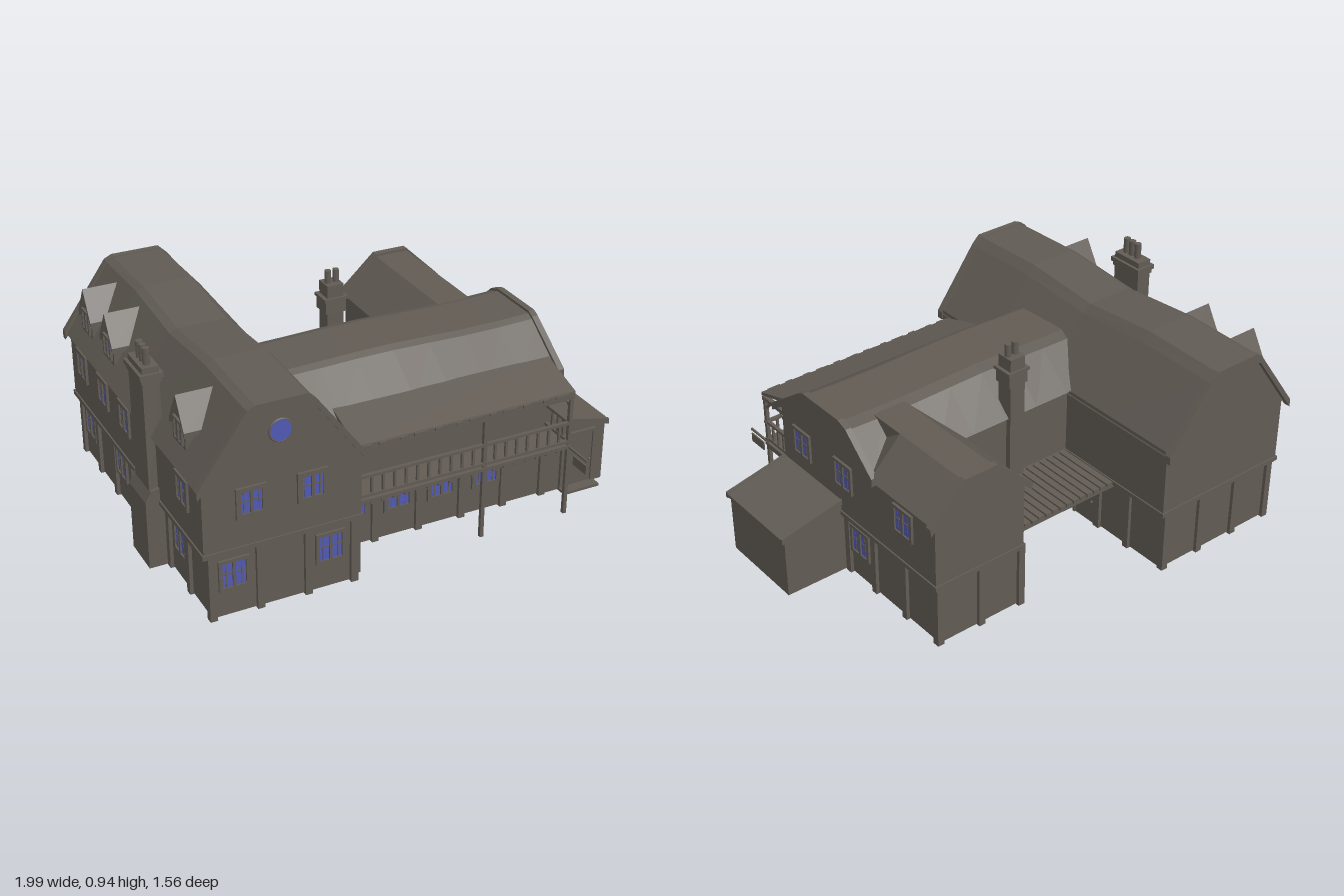
import * as THREE from 'three';
import { mergeGeometries } from 'three/addons/utils/BufferGeometryUtils.js';

const timber = new THREE.MeshStandardMaterial({ color: 0x615b54, side: THREE.DoubleSide });
timber.name = 'weatheredTimber';
const glass = new THREE.MeshStandardMaterial({ color: 0x5058b4, side: THREE.DoubleSide });
glass.name = 'blueGlass';

// Box given by its limits on each axis
function boxGeo(x0, x1, y0, y1, z0, z1) {
  return new THREE.BoxGeometry(x1 - x0, y1 - y0, z1 - z0)
    .translate((x0 + x1) / 2, (y0 + y1) / 2, (z0 + z1) / 2);
}

function add(parent, name, geo, mat = timber) {
  const m = new THREE.Mesh(geo, mat);
  m.name = name;
  parent.add(m);
  return m;
}

// Four walls without floor or ceiling
function wallBox(...limits) {
  const g = boxGeo(...limits);
  const idx = Array.from(g.index.array);
  idx.splice(12, 12);
  g.setIndex(idx);
  g.clearGroups();
  return g;
}

// Rectangular ring of beams, t wide
function ring(x0, x1, y0, y1, z0, z1, t) {
  return mergeGeometries([boxGeo(x0, x1, y0, y1, z0, z0 + t), boxGeo(x0, x1, y0, y1, z1 - t, z1),
    boxGeo(x0, x0 + t, y0, y1, z0 + t, z1 - t), boxGeo(x1 - t, x1, y0, y1, z0 + t, z1 - t)]);
}

// Extrude a [horizontal, y] outline along 'x' or 'z' from a to b
function prism(points, axis, a, b, steps = 1) {
  const s = new THREE.Shape(points.map(([h, y]) => new THREE.Vector2(axis === 'x' ? -h : h, y)));
  const g = new THREE.ExtrudeGeometry(s, { depth: b - a, steps, bevelEnabled: false });
  g.translate(0, 0, a);
  if (axis === 'x') g.rotateY(Math.PI / 2);
  return g;
}

// Let the ridge rise and sink along its length
function sag(g, axis, eave, top, rule) {
  const p = g.attributes.position;
  for (let i = 0; i < p.count; i++) {
    const t = axis === 'x' ? p.getX(i) : p.getZ(i), y = p.getY(i);
    p.setY(i, y + rule(t) * Math.max(0, (y - eave) / (top - eave)));
  }
  g.computeVertexNormals();
  return g;
}

// Strip that follows a roof outline at a gable
function barge(points, axis, a, b, drop = 0.035) {
  const lower = points.map(([h, y]) => [h, y - drop]).reverse();
  return prism([...points, ...lower], axis, a, b);
}

// Framed casement window, facing +z before turning
function makeWindow(parent, w, h, x, y, z, rot = 0, bar = 0.014) {
  const g = new THREE.Group();
  g.name = 'window';
  const W = w / 2, H = h / 2, d = 0.011;
  add(g, 'windowFrame', mergeGeometries([
    boxGeo(-W, W, H - bar, H, -d, d), boxGeo(-W, W, -H, -H + bar, -d, d),
    boxGeo(-W, -W + bar, -H, H, -d, d), boxGeo(W - bar, W, -H, H, -d, d),
    boxGeo(-0.006, 0.006, -H, H, -d, d), boxGeo(-W, W, 0.004, 0.009, -0.007, 0.007),
    ...[-1, 1].map(s => boxGeo(s * W / 2 - 0.002, s * W / 2 + 0.002, -H, H, -0.006, 0.006)),
  ]));
  add(g, 'windowPane', boxGeo(-W + bar, W - bar, -H + bar, H - bar, -0.004, 0.004), glass);
  g.position.set(x, y, z);
  g.rotation.y = rot;
  parent.add(g);
}

// Plank door with frame and knob, facing +z before turning
function makeDoor(parent, w, h, x, z, rot) {
  const g = new THREE.Group(), W = w / 2;
  g.name = 'door';
  add(g, 'doorFrame', mergeGeometries([boxGeo(-W, -W + 0.012, 0, h, 0, 0.014),
    boxGeo(W - 0.012, W, 0, h, 0, 0.014), boxGeo(-W, W, h - 0.012, h, 0, 0.014)]));
  add(g, 'doorLeaf', boxGeo(-W, W, 0, h, 0, 0.007));
  add(g, 'doorKnob', new THREE.SphereGeometry(0.006, 8, 6).translate(W - 0.025, h * 0.45, 0.012));
  g.position.set(x, 0, z);
  g.rotation.y = rot;
  parent.add(g);
}

export function createModel() {
  const model = new THREE.Group();
  model.name = 'timberInn';
  const R = Math.PI / 2;

  // Ground floor walls, jetty bands and upper walls of the three wings
  const wings = [
    ['sideWing', [-0.91, -0.31, -0.74, 0.68], [-0.94, -0.29, -0.755, 0.69]],
    ['mainHall', [-0.31, 0.68, -0.15, 0.47], [-0.3, 0.7, -0.16, 0.475]],
    ['rearWing', [0.28, 0.68, -0.545, -0.15], [0.27, 0.7, -0.555, -0.16]],
  ];
  for (const [name, g, u] of wings) {
    add(model, name + 'GroundWalls', wallBox(g[0], g[1], 0.005, 0.285, g[2], g[3]));
    add(model, name + 'Band', ring(u[0] - 0.006, u[1] + 0.006, 0.28, 0.3, u[2] - 0.006, u[3] + 0.006, 0.04));
    add(model, name + 'UpperWalls', wallBox(u[0], u[1], 0.29, 0.595, u[2], u[3]));
  }

  // Ground floor posts
  const posts = [];
  for (const x of [-0.91, -0.715, -0.515, -0.32]) posts.push([x, 0.68], [x, -0.74]);
  for (let i = 1; i < 7; i++) posts.push([-0.91, 0.68 - i * 0.203]);
  for (const z of [-0.54, -0.36, -0.18]) posts.push([-0.31, z]);
  for (const x of [-0.12, 0.08, 0.28, 0.48, 0.67]) posts.push([x, 0.47]);
  for (const z of [0.05, -0.13, -0.335, -0.54]) posts.push([0.68, z]);
  for (const p of [[0.28, -0.545], [0.48, -0.545], [0.28, -0.35], [0.1, -0.15], [-0.12, -0.15]]) posts.push(p);
  add(model, 'wallPosts', mergeGeometries(posts.map(([x, z]) =>
    boxGeo(x - 0.015, x + 0.015, 0, 0.285, z - 0.015, z + 0.015))));

  // Side wing roof with two humps along the ridge
  const sideRoof = [[-0.958, 0.575], [-0.759, 0.868], [-0.727, 0.885], [-0.518, 0.885], [-0.483, 0.848], [-0.287, 0.575]];
  const sideEdge = [[-0.965, 0.585], [-0.76, 0.873], [-0.727, 0.888], [-0.518, 0.888], [-0.482, 0.853], [-0.283, 0.585]];
  add(model, 'sideWingRoof', sag(prism(sideRoof, 'z', -0.757, 0.692, 4), 'z', 0.575, 0.885, z => {
    const k = Math.abs(z + 0.033) / 0.3625;
    return k < 1 ? -0.02 + 0.031 * k : 0.011 * (2 - k);
  }));

  // Main roof
  const mainRoof = [[0.505, 0.59], [0.3, 0.738], [0.27, 0.752], [0.03, 0.752], [-0.02, 0.735], [-0.175, 0.59]];
  const mainEdge = [[0.515, 0.6], [0.302, 0.75], [0.272, 0.764], [0.028, 0.764], [-0.023, 0.745], [-0.185, 0.6]];
  add(model, 'mainRoof', sag(prism(mainRoof, 'x', -0.6, 0.702, 8), 'x', 0.59, 0.752,
    x => 0.005 * Math.cos(x * 7)));

  // Rear wing roof, narrowing to its ridge where it meets the main roof
  const rearRoof = [[0.255, 0.59], [0.42, 0.74], [0.57, 0.74], [0.72, 0.59]];
  const rearEdge = [[0.247, 0.595], [0.418, 0.752], [0.572, 0.752], [0.735, 0.595]];
  const valley = prism(rearRoof, 'z', -0.17, 0.045), vp = valley.attributes.position;
  for (let i = 0; i < vp.count; i++) if (vp.getZ(i) > 0) vp.setX(i, Math.min(0.57, Math.max(0.42, vp.getX(i))));
  valley.computeVertexNormals();
  add(model, 'rearWingRoof', prism(rearRoof, 'z', -0.557, -0.17));
  add(model, 'rearWingValley', valley);
  add(model, 'gableBoards', mergeGeometries([
    barge(sideEdge, 'z', 0.685, 0.715), barge(sideEdge, 'z', -0.78, -0.75),
    barge(mainEdge, 'x', 0.695, 0.722), barge(rearEdge, 'z', -0.577, -0.548)]));

  // Windows of the side wing
  for (const x of [-0.745, -0.497]) makeWindow(model, 0.125, 0.13, x, 0.485, 0.69, 0, 0.02);
  for (const x of [-0.82, -0.42]) makeWindow(model, 0.125, 0.135, x, 0.185, 0.68);
  for (const z of [-0.61, -0.35, -0.1, 0.51]) makeWindow(model, 0.12, 0.13, -0.94, 0.485, z, -R, 0.018);
  for (const z of [-0.64, -0.26, 0.39]) makeWindow(model, 0.125, 0.135, -0.91, 0.185, z, -R);
  add(model, 'roundWindow', new THREE.CylinderGeometry(0.043, 0.043, 0.008, 24).rotateX(R)
    .translate(-0.622, 0.752, 0.695), glass);
  add(model, 'roundWindowFrame', new THREE.TorusGeometry(0.045, 0.005, 6, 24).translate(-0.622, 0.752, 0.694));

  // Windows of the hall and rear wing
  for (const x of [-0.213, -0.013, 0.187, 0.395]) makeWindow(model, 0.132, 0.135, x, 0.185, 0.47, 0, 0.018);
  for (const x of [-0.16, 0.1]) makeWindow(model, 0.12, 0.11, x, 0.485, 0.475, 0, 0.01);
  for (const z of [0.33, 0.04, -0.358]) makeWindow(model, 0.122, 0.13, 0.7, 0.487, z, R, 0.014);
  makeWindow(model, 0.125, 0.135, 0.68, 0.185, -0.03, R);

  // Doors
  makeDoor(model, 0.16, 0.255, -0.31, 0.565, R);
  makeDoor(model, 0.14, 0.24, -0.31, -0.28, R);
  makeDoor(model, 0.165, 0.265, 0.84, 0.475, 0);

  // Dormers on the outer slope
  for (const z of [-0.58, -0.32, 0.443]) {
    const d = new THREE.Group();
    d.name = 'dormer';
    add(d, 'dormerBody', prism([[z - 0.055, 0.6], [z + 0.055, 0.6], [z + 0.055, 0.73], [z, 0.825], [z - 0.055, 0.73]],
      'x', -0.915, -0.74));
    add(d, 'dormerRoof', barge([[z - 0.073, 0.722], [z, 0.848], [z + 0.073, 0.722]], 'x', -0.927, -0.74, 0.022));
    makeWindow(d, 0.085, 0.095, -0.915, 0.7, z, -R, 0.01);
    model.add(d);
  }

  // Large chimney with sloped shoulders on the outer wall
  const big = new THREE.Group();
  big.name = 'sideChimney';
  add(big, 'chimneyBase', prism([[-1, 0], [-0.9, 0], [-0.9, 0.36], [-0.975, 0.345], [-1, 0.3]], 'z', 0.075, 0.255));
  add(big, 'chimneyStack', boxGeo(-0.977, -0.908, 0.3, 0.87, 0.09, 0.24));
  add(big, 'chimneyCap', mergeGeometries([boxGeo(-0.99, -0.895, 0.825, 0.845, 0.078, 0.252),
    boxGeo(-0.983, -0.902, 0.805, 0.825, 0.084, 0.246)]));
  add(big, 'chimneyPots', mergeGeometries([0.138, 0.172, 0.206].map(z =>
    new THREE.CylinderGeometry(0.015, 0.015, 0.08, 8).translate(-0.945, 0.898, z))));
  model.add(big);

  // Courtyard chimney
  const small = new THREE.Group();
  small.name = 'hallChimney';
  add(small, 'chimneyStack', boxGeo(-0.038, 0.036, 0, 0.868, -0.185, -0.108));
  add(small, 'chimneyCap', mergeGeometries([boxGeo(-0.055, 0.052, 0.8, 0.813, -0.195, -0.098),
    boxGeo(-0.048, 0.045, 0.745, 0.8, -0.19, -0.103)]));
  add(small, 'chimneyPots', mergeGeometries([-0.018, 0.018].map(x =>
    new THREE.CylinderGeometry(0.014, 0.014, 0.07, 8).translate(x, 0.888, -0.146))));
  model.add(small);

  // Balcony: floor, joists, posts, railing and lintel
  const bal = new THREE.Group();
  bal.name = 'balcony';
  add(bal, 'balconyFloor', boxGeo(-0.29, 0.69, 0.31, 0.325, 0.47, 0.65));
  const joists = [], rails = [], tiles = [];
  for (let i = 0; i < 20; i++) {
    const x = -0.27 + i * 0.05;
    joists.push(boxGeo(x - 0.008, x + 0.008, 0.297, 0.312, 0.47, 0.645));
    rails.push(boxGeo(x - 0.005, x + 0.005, 0.335, 0.42, 0.635, 0.645));
  }
  add(bal, 'balconyJoists', mergeGeometries(joists));
  for (const y of [0.335, 0.42]) {
    rails.push(boxGeo(-0.29, 0.69, y, y + 0.012, 0.632, 0.648), boxGeo(0.67, 0.685, y, y + 0.012, 0.475, 0.648));
  }
  for (const z of [0.52, 0.56, 0.6]) rails.push(boxGeo(0.673, 0.682, 0.335, 0.42, z - 0.005, z + 0.005));
  add(bal, 'balconyRailing', mergeGeometries(rails));
  add(bal, 'balconyPosts', mergeGeometries([-0.28, 0.28, 0.678].map(x =>
    boxGeo(x - 0.008, x + 0.008, 0, 0.55, 0.632, 0.648))));
  add(bal, 'balconyLintel', mergeGeometries([boxGeo(-0.29, 0.69, 0.535, 0.553, 0.63, 0.648),
    boxGeo(0.668, 0.688, 0.535, 0.553, 0.475, 0.648)]));
  add(bal, 'balconyBraces', mergeGeometries([0.49, 0.635].map((z, i) => new THREE.BoxGeometry(0.01, 0.06, 0.01)
    .rotateX(i ? -0.8 : 0.8).translate(0.678, 0.515, z + (i ? -0.018 : 0.018)))));
  // Balcony roof with an uneven shingle edge
  add(bal, 'balconyRoof', prism([[0.44, 0.618], [0.648, 0.557], [0.648, 0.571], [0.44, 0.635]], 'x', -0.29, 0.69));
  for (let i = 0; i < 32; i++) {
    const x = -0.29 + i * 0.0305, e = 0.656 + 0.004 * Math.sin(i * 2.4);
    tiles.push(boxGeo(x, x + 0.0305, 0.557, 0.569, 0.645, e));
  }
  add(bal, 'shingleEdge', mergeGeometries(tiles));
  model.add(bal);

  // Hanging board on a bracket, left blank
  add(model, 'signBracket', boxGeo(0.674, 0.682, 0.312, 0.32, 0.64, 0.78));
  add(model, 'signBoard', boxGeo(0.675, 0.681, 0.255, 0.295, 0.685, 0.778));

  // Lean-to shed with sloping roof, edge boards and doorstep
  const shed = wallBox(0.68, 0.975, 0, 0.34, 0.072, 0.475), sp = shed.attributes.position;
  for (let i = 0; i < sp.count; i++) if (sp.getY(i) > 0.2 && sp.getX(i) > 0.8) sp.setY(i, 0.275);
  shed.computeVertexNormals();
  add(model, 'shedWalls', shed);
  const shedSlope = [[0.7, 0.338], [0.99, 0.272], [0.99, 0.286], [0.7, 0.352]];
  add(model, 'shedRoof', prism(shedSlope, 'z', 0.066, 0.48));
  add(model, 'shedEdgeBoards', mergeGeometries([0.064, 0.47].map(z =>
    barge([[0.7, 0.355], [0.99, 0.289]], 'z', z, z + 0.014, 0.025))));
  add(model, 'doorsteps', mergeGeometries([boxGeo(0.755, 0.928, 0, 0.012, 0.475, 0.53),
    boxGeo(-0.31, -0.27, 0, 0.01, 0.49, 0.64)]));

  // Courtyard pergola
  const slats = [];
  for (let i = 0; i < 15; i++) {
    const x = -0.265 + i * 0.0365;
    slats.push(boxGeo(x - 0.0145, x + 0.0145, 0.285, 0.3, -0.467 - 0.004 * Math.sin(i * 3.1), -0.155));
  }
  add(model, 'pergolaSlats', mergeGeometries(slats));
  add(model, 'pergolaBeams', mergeGeometries([-0.45, -0.36, -0.27, -0.18].map(z =>
    boxGeo(-0.31, 0.28, 0.265, 0.285, z - 0.009, z + 0.009))));

  return model;
}
